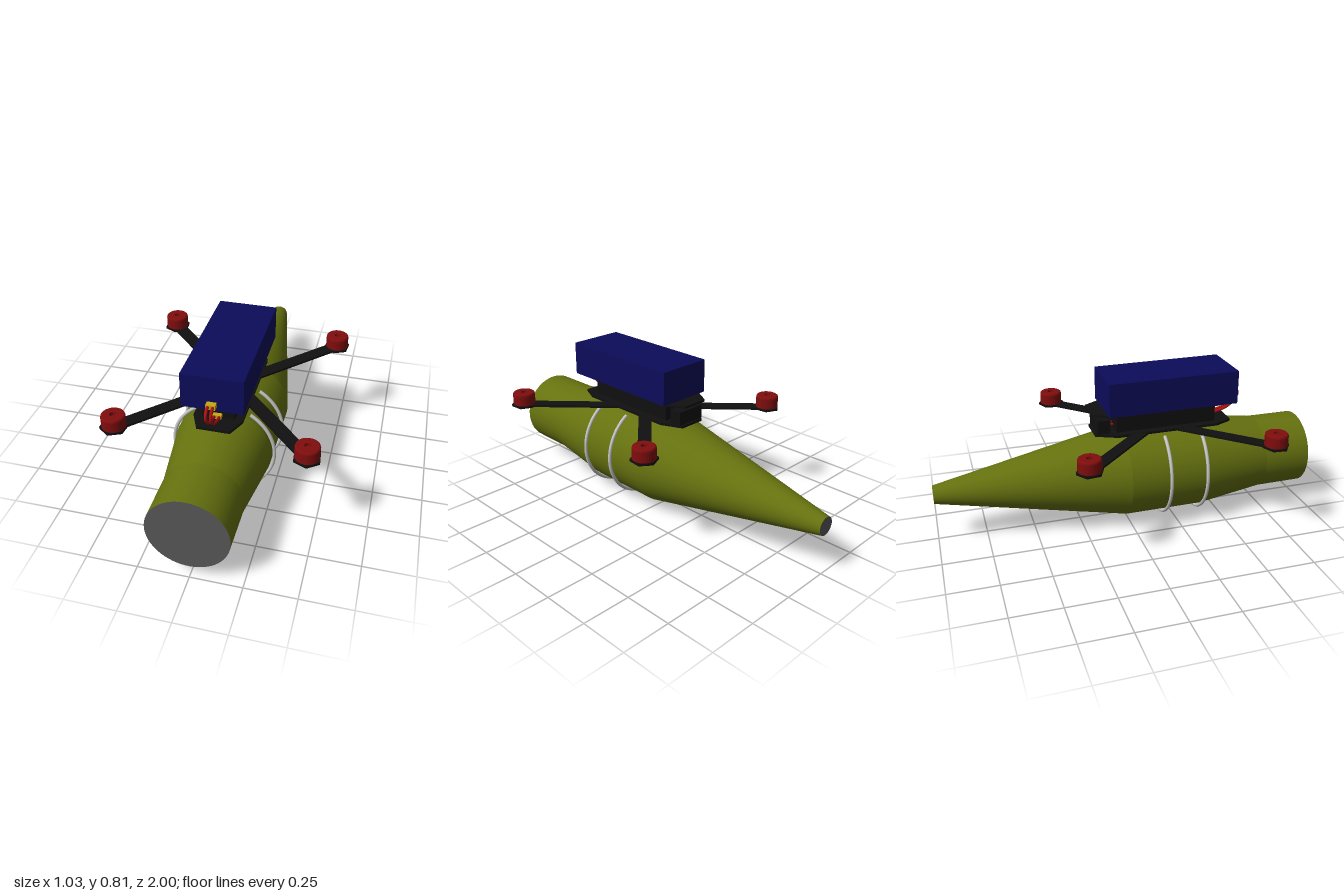
import * as THREE from 'three';

const mat = (name, color, side = THREE.FrontSide) => {
  const m = new THREE.MeshStandardMaterial({ color, side });
  m.name = name;
  return m;
};

export function createModel() {
  const olive = mat('olive', 0x66720f);
  const grey = mat('dark grey', 0x585858);
  const silver = mat('silver', 0xc4c4c4);
  const black = mat('black', 0x101010);
  const navy = mat('navy', 0x0c0c5a);
  const red = mat('red', 0x800d0d);
  const wireRed = mat('wire red', 0xb01010);
  const yellow = mat('yellow', 0xc8a814);

  const model = new THREE.Group();
  const body = new THREE.Group();
  body.name = 'body';
  body.rotation.x = -0.0065; // slight nose-down pitch
  model.add(body);

  const add = (name, geo, material, x = 0, y = 0, z = 0, parent = body) => {
    const m = new THREE.Mesh(geo, material);
    m.name = name;
    m.position.set(x, y, z);
    parent.add(m);
    return m;
  };
  const box = (name, w, y0, y1, z0, z1, material) =>
    add(name, new THREE.BoxGeometry(w, y1 - y0, z1 - z0), material, 0, (y0 + y1) / 2, (z0 + z1) / 2);

  // Flat plate from an outline of [x, z] points
  const plate = (name, pts, y0, thick, material) => {
    const shape = new THREE.Shape(pts.map(([x, z]) => new THREE.Vector2(x, -z)));
    const geo = new THREE.ExtrudeGeometry(shape, { depth: thick, bevelEnabled: false });
    geo.rotateX(-Math.PI / 2);
    return add(name, geo, material, 0, y0, 0);
  };

  // Tapered hull: sections of [z, radius], each its own smooth band
  const axisY = 0.267;
  const profile = [[1, 0.196], [0.75, 0.197], [0.4, 0.244], [-0.02, 0.244], [-1, 0.047]];
  for (let i = 0; i < profile.length - 1; i++) {
    const [z0, r0] = profile[i], [z1, r1] = profile[i + 1];
    const geo = new THREE.CylinderGeometry(r0, r1, z0 - z1, 64, 1, true);
    geo.rotateX(Math.PI / 2);
    add('hullSection', geo, olive, 0, axisY, (z0 + z1) / 2);
  }
  add('frontCap', new THREE.CircleGeometry(0.196, 64), grey, 0, axisY, 1);
  add('rearCap', new THREE.CircleGeometry(0.047, 64), grey, 0, axisY, -1).rotation.y = Math.PI;

  // Straps, open under the frame
  const gap = THREE.MathUtils.degToRad(31);
  for (const z of [0.385, 0.185]) {
    const geo = new THREE.TorusGeometry(0.256, 0.009, 10, 72, Math.PI * 2 - gap * 2);
    geo.rotateZ(Math.PI / 2 + gap);
    add('strap', geo, silver, 0, axisY, z);
  }

  // Frame plates and central stack
  plate('bottomPlate', [[-0.12, -0.06], [-0.12, 0.48], [-0.08, 0.57], [0.08, 0.57],
    [0.12, 0.48], [0.12, -0.06], [0.07, -0.17], [-0.07, -0.17]], 0.505, 0.013, black);
  plate('topPlate', [[-0.12, -0.1], [-0.12, 0.48], [0.12, 0.48], [0.12, -0.1],
    [0.07, -0.187], [-0.07, -0.187]], 0.617, 0.012, black);
  box('stack', 0.16, 0.518, 0.617, -0.06, 0.48, black);
  box('rearUnit', 0.16, 0.518, 0.59, -0.16, -0.092, black);
  for (const x of [-0.015, 0.015])
    add('rearWire', new THREE.CylinderGeometry(0.006, 0.006, 0.04, 10).rotateX(Math.PI / 2), wireRed, x, 0.54, -0.077);

  // Battery
  box('battery', 0.294, 0.63, 0.805, -0.112, 0.575, navy);

  // Arms with hexagonal pads and hollow-topped motors
  const motorGeo = new THREE.LatheGeometry([
    [0.058, 0], [0.058, 0.052], [0.056, 0.059], [0.051, 0.063],
    [0.016, 0.063], [0.016, 0.045], [0, 0.045],
  ].map(([r, y]) => new THREE.Vector2(r, y)), 32);
  motorGeo.deleteAttribute('normal');
  const motor = motorGeo.toNonIndexed();
  motor.computeVertexNormals();
  const padGeo = new THREE.CylinderGeometry(0.068, 0.068, 0.012, 6);
  for (const sx of [-1, 1]) for (const sz of [-1, 1]) {
    const arm = new THREE.Group();
    arm.name = 'arm';
    arm.position.set(0, 0.505, 0.178);
    body.add(arm);
    const tip = new THREE.Vector3(sx * 0.452, 0, sz * 0.472);
    const len = tip.length();
    const beam = add('armBeam', new THREE.BoxGeometry(0.066, 0.011, len), black, tip.x / 2, 0.0055, tip.z / 2, arm);
    beam.rotation.y = Math.atan2(tip.x, tip.z);
    add('motorPad', padGeo, black, tip.x, 0.006, tip.z, arm).rotation.y = sx * sz * 0.1;
    add('motor', motor, red, tip.x, 0.012, tip.z, arm);
  }

  // Power leads and their connectors
  box('batteryConnector', 0.046, 0.652, 0.677, 0.57, 0.603, yellow);
  box('frameConnector', 0.042, 0.526, 0.546, 0.475, 0.503, yellow);
  for (const x of [-0.012, 0.012]) {
    const path = new THREE.CatmullRomCurve3([
      [0.595, 0.666], [0.625, 0.661], [0.637, 0.63], [0.615, 0.59], [0.565, 0.555], [0.495, 0.536],
    ].map(([z, y]) => new THREE.Vector3(x, y, z)));
    add('powerLead', new THREE.TubeGeometry(path, 32, 0.0075, 10), wireRed);
  }

  return model;
}
